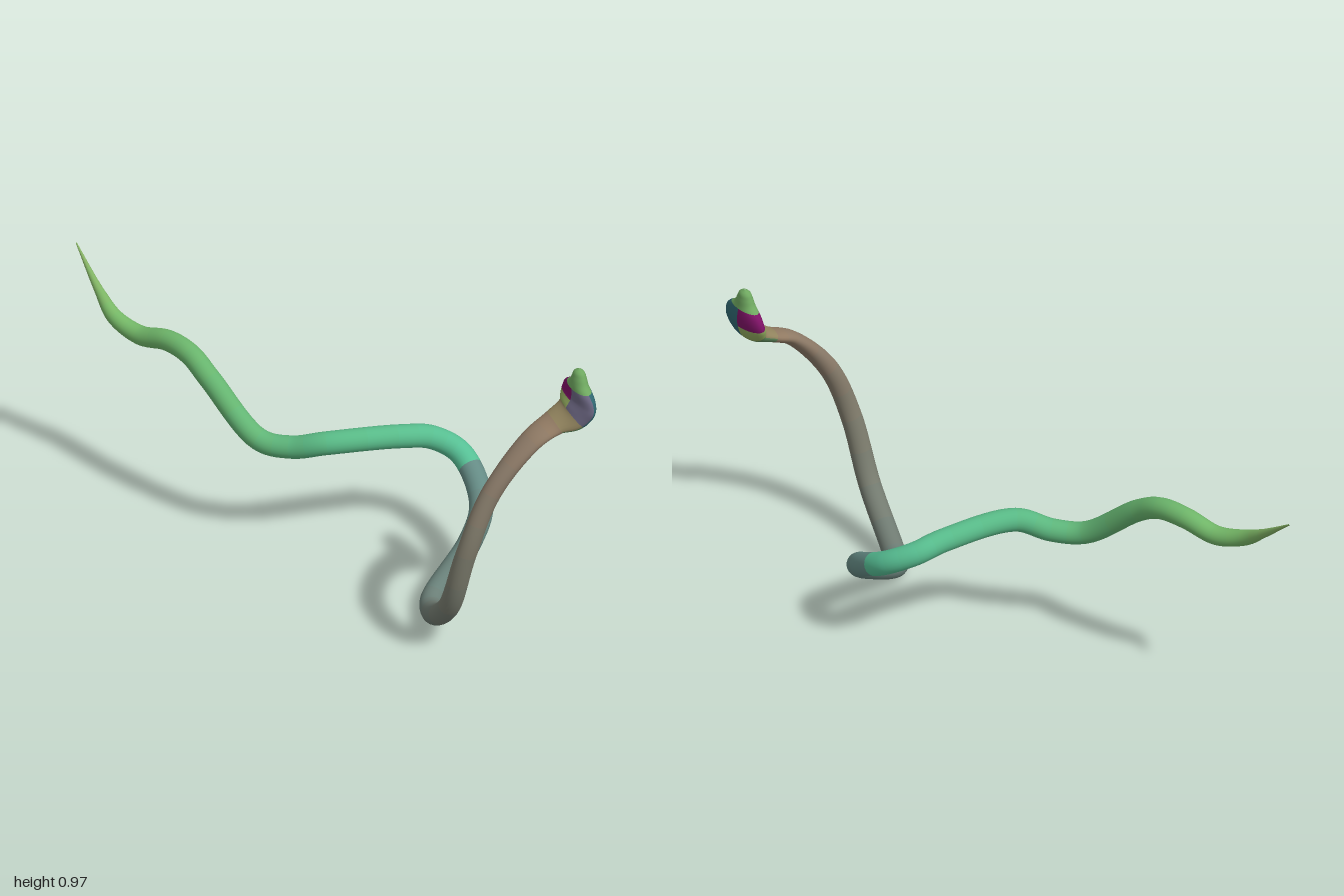
import * as THREE from 'three';

// Spine from head tip to tail tip
const SPINE = [
  [0.91, 0.976, -0.066], [0.911, 0.925, -0.063], [0.91, 0.868, -0.064], [0.898, 0.825, -0.045],
  [0.866, 0.796, 0], [0.835, 0.755, 0.075], [0.778, 0.6, 0.2], [0.738, 0.4, 0.27],
  [0.665, 0.18, 0.262], [0.515, 0.045, 0.16], [0.465, 0.046, 0.1], [0.45, 0.148, -0.1],
  [0.415, 0.22, -0.195], [0.275, 0.31, -0.27], [0.19, 0.352, -0.235], [0.135, 0.376, -0.15],
  [0, 0.392, 0.045], [-0.1, 0.362, 0.095], [-0.2, 0.368, 0.13], [-0.39, 0.51, 0.133],
  [-0.48, 0.555, 0.118], [-0.58, 0.56, 0.105], [-0.69, 0.535, 0.105], [-0.79, 0.56, 0.105],
  [-0.87, 0.612, 0.083], [-0.998, 0.712, 0.038],
];
// Girth along the spine: spine index, half width, half thickness
const GIRTH = [
  [0, 0.001, 0.001], [0.1, 0.015, 0.011], [0.5, 0.029, 0.02], [1, 0.044, 0.025],
  [1.4, 0.078, 0.028], [2, 0.093, 0.031], [2.7, 0.083, 0.034], [4, 0.052, 0.021],
  [5, 0.042, 0.023], [6, 0.031, 0.031], [9, 0.036, 0.036], [14, 0.037, 0.037],
  [18, 0.035, 0.035], [23, 0.025, 0.025], [25, 0.002, 0.002],
];
const STEPS = 10; // rings per spine point
const N = (SPINE.length - 1) * STEPS;
const SIDES = 24;

// Rings carry the hood's wide axis along the whole spine without twisting
function makeRings() {
  const path = new THREE.CatmullRomCurve3(SPINE.map(p => new THREE.Vector3(...p)));
  const girth = new THREE.CubicInterpolant(GIRTH.map(g => g[0]), GIRTH.flatMap(g => g.slice(1)), 2);
  const side = new THREE.Vector3(0.93, 0, 0.37).normalize();
  const rings = [];
  for (let i = 0; i <= N; i++) {
    const tangent = path.getTangent(i / N);
    side.addScaledVector(tangent, -side.dot(tangent)).normalize();
    const [w, t] = girth.evaluate(i / STEPS);
    rings.push({
      centre: path.getPoint(i / N),
      side: side.clone(),
      up: new THREE.Vector3().crossVectors(side, tangent),
      w: Math.max(w, 0.001),
      t: Math.max(t, 0.001),
    });
  }
  return rings;
}

function surfacePoint(rings, i, a) {
  const r = rings[THREE.MathUtils.clamp(i, 0, N)];
  return r.centre.clone()
    .addScaledVector(r.side, Math.cos(a) * r.w)
    .addScaledVector(r.up, Math.sin(a) * r.t);
}

// Skin between two spine indices and two angles (in degrees)
function skin(rings, from, to, deg0 = 0, deg1 = 360) {
  const i0 = Math.round(from * STEPS), i1 = Math.round(to * STEPS);
  const cols = Math.round(SIDES * (deg1 - deg0) / 360);
  const pos = [], nor = [], idx = [];
  for (let i = i0; i <= i1; i++) {
    for (let j = 0; j <= cols; j++) {
      const a = THREE.MathUtils.degToRad(deg0 + (deg1 - deg0) * j / cols);
      const along = surfacePoint(rings, i + 1, a).sub(surfacePoint(rings, i - 1, a));
      const around = surfacePoint(rings, i, a + 0.05).sub(surfacePoint(rings, i, a - 0.05));
      pos.push(...surfacePoint(rings, i, a).toArray());
      nor.push(...along.cross(around).normalize().toArray());
      if (i < i1 && j < cols) {
        const k = (i - i0) * (cols + 1) + j, m = k + cols + 1;
        idx.push(k, m, k + 1, k + 1, m, m + 1);
      }
    }
  }
  const g = new THREE.BufferGeometry();
  g.setAttribute('position', new THREE.Float32BufferAttribute(pos, 3));
  g.setAttribute('normal', new THREE.Float32BufferAttribute(nor, 3));
  g.setIndex(idx);
  return g;
}

export function createModel() {
  const model = new THREE.Group();
  model.name = 'snake';
  const rings = makeRings();
  const add = (parent, name, color, ...range) => {
    const mesh = new THREE.Mesh(skin(rings, ...range), new THREE.MeshStandardMaterial({ color }));
    mesh.name = name;
    parent.add(mesh);
  };

  // Head and the coloured patches of the hood
  const head = new THREE.Group();
  head.name = 'head';
  model.add(head);
  add(head, 'snout', 0x6fa860, 0, 1.2);
  add(head, 'hoodLeftBack', 0x2f6670, 1.2, 3, 0, 90);
  add(head, 'hoodRightUpper', 0x7d1265, 1.2, 2.1, 90, 270);
  add(head, 'hoodRightLower', 0x8fa85c, 2.1, 3, 90, 270);
  add(head, 'hoodLeftFront', 0x6a6580, 1.2, 3, 270, 360);
  add(head, 'hoodBaseBack', 0x5f8a5c, 3, 4, 0, 180);
  add(head, 'hoodBaseFront', 0x93855f, 3, 4, 180, 360);

  // Body bands: colours blend between stops, with one sharp change at 12.7
  const body = new THREE.Group();
  body.name = 'body';
  model.add(body);
  const stops = [
    [4, 0x937b62], [5.5, 0x8c7a68], [7, 0x7e7c6c], [9, 0x6c7a72], [12.7, 0x648c86],
    [12.7, 0x56c096], [16, 0x58b884], [19, 0x66b46e], [23, 0x76b866], [25, 0x86ae62],
  ];
  for (let s = 0; s < stops.length - 1; s++) {
    const [a, ca] = stops[s], [b, cb] = stops[s + 1];
    const count = Math.round((b - a) * 2);
    for (let k = 0; k < count; k++) {
      const color = new THREE.Color(ca).lerp(new THREE.Color(cb), (k + 0.5) / count);
      add(body, 'bodyBand', color, a + (b - a) * k / count, a + (b - a) * (k + 1) / count);
    }
  }
  return model;
}
